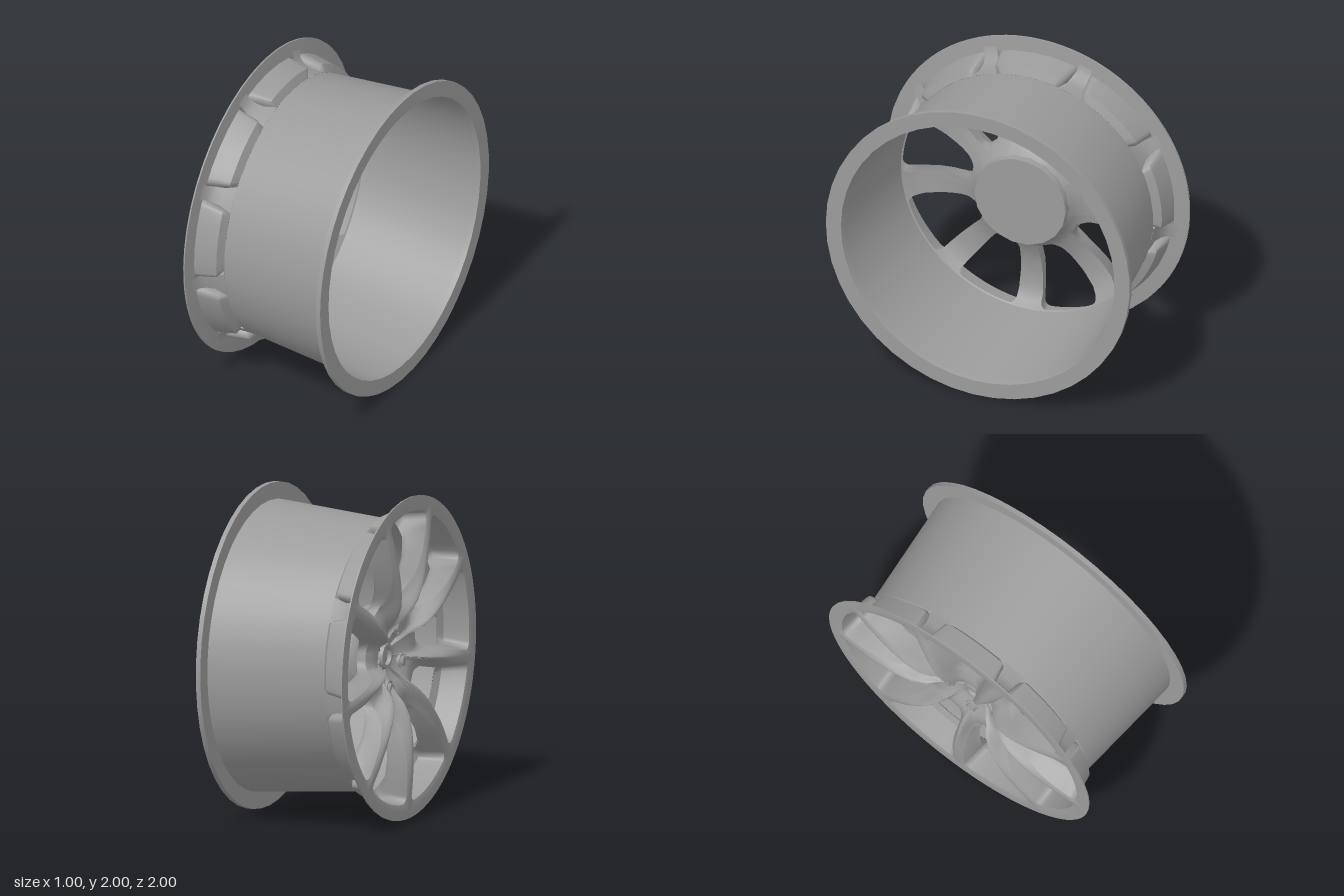
import * as THREE from 'three';
import { mergeVertices, toCreasedNormals } from 'three/addons/utils/BufferGeometryUtils.js';

const SPOKES = 9, HALF = Math.PI / SPOKES;
const material = new THREE.MeshStandardMaterial({ color: 0x9b9b9b, side: THREE.DoubleSide });
const lerp = THREE.MathUtils.lerp;

// Axial depth by radius: spoke ridge, window edge and spoke back
const RIDGE = [[0, -0.3], [0.1, -0.302], [0.16, -0.325], [0.22, -0.385], [0.28, -0.44], [0.34, -0.472], [0.42, -0.49],
  [0.52, -0.499], [0.62, -0.5], [0.75, -0.493], [0.9, -0.477], [1, -0.472]];
const EDGE = [[0, -0.3], [0.2, -0.312], [0.3, -0.325], [0.37, -0.345], [0.42, -0.385], [0.48, -0.43], [0.55, -0.46],
  [0.65, -0.478], [0.78, -0.478], [0.9, -0.468], [1, -0.472]];
const BACK = [[0.3, -0.21], [0.33, -0.255], [0.37, -0.29], [0.42, -0.315], [0.5, -0.345], [0.62, -0.36],
  [0.74, -0.345], [0.8, -0.3], [0.83, -0.28]];

function depth(table, r) {
  let i = 1;
  while (i < table.length - 1 && r > table[i][0]) i++;
  const [r0, x0] = table[i - 1], [r1, x1] = table[i];
  return lerp(x0, x1, THREE.MathUtils.clamp((r - r0) / (r1 - r0), 0, 1));
}

// Wedge outline in polar form; gapIn and gapOut are its distances from the spoke
// centre lines, inner and outer its corner sizes [across, along]
function outline(r0, r1, gapIn, gapOut, inner, outer, square = false) {
  const SIDE = 8, ARC = 6, path = [], pts = [];
  const corners = [[-1, r0, inner, Math.PI], [1, r0, inner, 1.5 * Math.PI],
    [1, r1, outer, 0], [-1, r1, outer, 0.5 * Math.PI]];
  for (const [u, r, [ru, rr], start] of corners) {
    const cu = u - Math.sign(u) * ru, cr = r + (r === r0 ? rr : -rr), arc = [];
    for (let i = 0; i <= ARC; i++) {
      const t = start + (i / ARC) * Math.PI / 2, c = Math.cos(t), s = Math.sin(t);
      const k = square ? 1 / Math.max(Math.abs(c), Math.abs(s)) : 1;
      arc.push([cu + ru * c * k, cr + rr * s * k]);
    }
    path.push(arc);
  }
  path.forEach((arc, c) => {
    pts.push(...arc);
    const a = arc[ARC], b = path[(c + 1) % 4][0];
    for (let i = 1; i < SIDE; i++) pts.push([lerp(a[0], b[0], i / SIDE), lerp(a[1], b[1], i / SIDE)]);
  });
  return pts.map(([u, r]) => {
    const gap = lerp(gapIn, gapOut, (r - r0) / (r1 - r0));
    return { r, a: u * (gap ? HALF - Math.asin(gap / r) : HALF) };
  });
}

// Spoked face: loops run from the front sector border, through the window, to the back border
function spokedFace() {
  const inner = [0.7, 0.075], outer = [0.18, 0.045];
  const border = outline(0, 0.995, 0, 0, [0.7, 0.28], [0.18, 0.09], true);
  const mouth = outline(0.372, 0.9, 0.05, 0.04, inner, outer);
  const throat = outline(0.37, 0.875, 0.056, 0.064, inner, outer);
  const exit = outline(0.367, 0.82, 0.06, 0.083, inner, outer);
  const backBorder = outline(0.3, 0.83, 0, 0, [0.7, 0.06], [0.2, 0.05], true);
  const blend = (A, B, t, x) => A.map((p, i) => {
    const r = lerp(p.r, B[i].r, t);
    return { r, a: lerp(p.a, B[i].a, t), x: x(r) };
  });
  const loops = [];
  for (let k = 0; k <= 10; k++) {
    const t = k / 10;
    loops.push(blend(border, mouth, t, r => lerp(depth(RIDGE, r), depth(EDGE, r), t * t)));
  }
  loops.push(throat.map((p, i) => ({
    ...p, x: lerp(depth(EDGE, mouth[i].r), depth(BACK, exit[i].r), 0.87) })));
  for (let k = 0; k <= 5; k++) loops.push(blend(exit, backBorder, k / 5, r => depth(BACK, r)));

  const pos = [], index = [], n = border.length;
  for (let s = 0; s < SPOKES; s++) {
    const base = pos.length / 3;
    for (const loop of loops) for (const p of loop) {
      const a = p.a + 2 * HALF * s;
      pos.push(p.x, p.r * Math.cos(a), p.r * Math.sin(a));
    }
    for (let k = 0; k < loops.length - 1; k++) for (let i = 0; i < n; i++) {
      const j = (i + 1) % n, a = base + k * n + i, b = base + k * n + j;
      index.push(a, b, a + n, b, b + n, a + n);
    }
  }
  const g = new THREE.BufferGeometry();
  g.setAttribute('position', new THREE.Float32BufferAttribute(pos, 3));
  g.setIndex(index);
  return toCreasedNormals(mergeVertices(g, 1e-4), 0.95);
}

// Revolve [radius, axial] points about the wheel axis
function revolve(points, segments) {
  const g = new THREE.LatheGeometry(points.map(p => new THREE.Vector2(...p)), segments);
  return toCreasedNormals(g.rotateZ(-Math.PI / 2), 0.5);
}

// Curved strip closing the barrel behind a spoke; rows are [radius, axial, half width]
function spokeWeb() {
  const rows = [[0.83, -0.28, 0.083], [0.832, -0.36, 0.056], [0.85, -0.41, 0.05], [0.88, -0.44, 0.044],
    [0.93, -0.455, 0.044]];
  const g = new THREE.PlaneGeometry(2, 1, 4, rows.length - 1), p = g.attributes.position;
  for (let i = 0; i < p.count; i++) {
    const [r, x, w] = rows[Math.floor(i / 5)], z = p.getX(i) * w;
    p.setXYZ(i, x, Math.sqrt(r * r - z * z), z);
  }
  g.computeVertexNormals();
  return g;
}

export function createModel() {
  const wheel = new THREE.Group();
  wheel.name = 'wheel';
  wheel.position.y = 1;
  const add = (name, geometry) => {
    const mesh = new THREE.Mesh(geometry, material);
    mesh.name = name;
    wheel.add(mesh);
    return mesh;
  };

  add('spokedFace', spokedFace());
  add('barrel', revolve([[0.83, -0.28], [0.895, 0.47]], 45));
  add('rearFlange', revolve([[0.895, 0.47], [1, 0.47], [1, 0.5], [0.9, 0.5], [0.895, 0.47]], 45));
  add('frontFlange', revolve([[0.995, -0.472], [0.995, -0.463], [0.9, -0.452]], 45));
  add('hubBack', revolve([[0.305, -0.22], [0.3, -0.17], [0, -0.17]], 18));
  add('centreCap', revolve([[0.085, -0.29], [0.078, -0.33], [0.055, -0.33], [0.05, -0.308], [0, -0.308]], 20));

  const web = spokeWeb();
  for (let s = 0; s < SPOKES; s++) add('spokeWeb', web).rotation.x = (2 * s + 1) * HALF;

  // Five wheel nuts in round seats
  const nut = new THREE.CylinderGeometry(0.034, 0.034, 0.08, 6).rotateZ(Math.PI / 2);
  const seat = revolve([[0.05, 0.04], [0.05, -0.025], [0.043, -0.025], [0.043, 0.04]], 16);
  for (let i = 0; i < 5; i++) {
    const a = Math.PI + i * Math.PI * 2 / 5;
    const y = 0.2 * Math.cos(a), z = 0.2 * Math.sin(a);
    add('wheelNut', nut).position.set(-0.32, y, z);
    add('nutSeat', seat).position.set(-0.32, y, z);
  }

  const model = new THREE.Group();
  model.name = 'wheelRim';
  model.add(wheel);
  return model;
}
